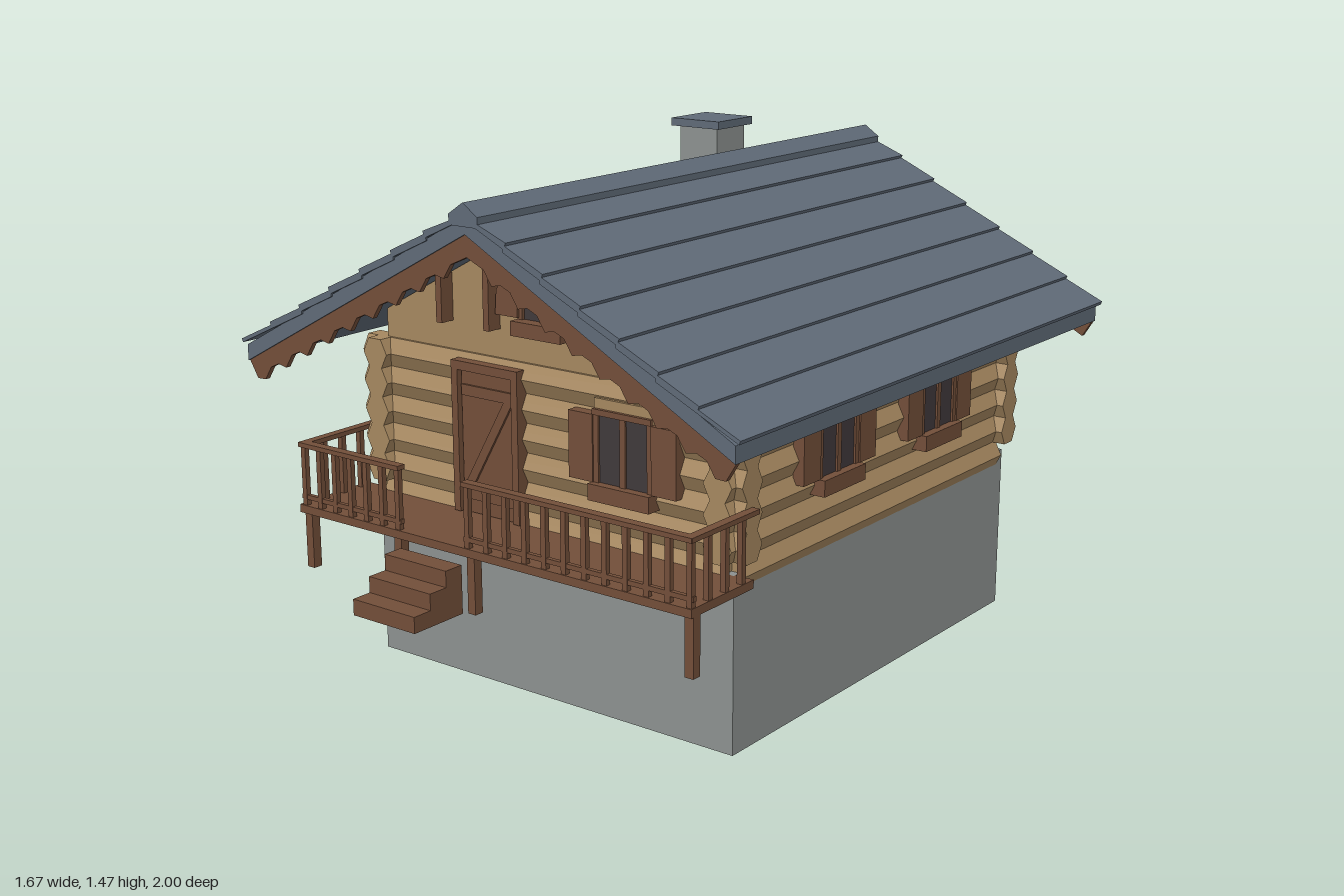
import * as THREE from 'three';

const mat = (name, color) => {
  const m = new THREE.MeshStandardMaterial({ color });
  m.name = name;
  return m;
};

export function createModel() {
  const model = new THREE.Group();
  model.name = 'logCabin';
  const stone = mat('stone', 0x8c918f);
  const log = mat('logWood', 0xa5875f);
  const brown = mat('brownWood', 0x724e39);
  const slate = mat('slate', 0x5f6a77);
  const glass = mat('darkGlass', 0x40393b);

  const add = (parent, name, geometry, material) => {
    const mesh = new THREE.Mesh(geometry, material);
    mesh.name = name;
    parent.add(mesh);
    return mesh;
  };
  const group = (name, parent = model) => {
    const g = new THREE.Group();
    g.name = name;
    parent.add(g);
    return g;
  };
  // Box given by its limits on each axis
  const box = (parent, name, material, x0, x1, y0, y1, z0, z1) => {
    const mesh = add(parent, name, new THREE.BoxGeometry(x1 - x0, y1 - y0, z1 - z0), material);
    mesh.position.set((x0 + x1) / 2, (y0 + y1) / 2, (z0 + z1) / 2);
    return mesh;
  };
  // Cross-section in x and y, swept from z0 to z1
  const prism = (parent, name, material, points, z0, z1) => {
    const shape = new THREE.Shape(points.map(([x, y]) => new THREE.Vector2(x, y)));
    const geometry = new THREE.ExtrudeGeometry(shape, { depth: z1 - z0, bevelEnabled: false });
    geometry.translate(0, 0, z0);
    return add(parent, name, geometry, material);
  };

  // Foundation, and the wall core with both gables
  box(model, 'foundation', stone, -0.615, 0.615, 0, 0.488, -0.83, 0.568);
  prism(model, 'wallCore', log, [[-0.58, 0.47], [0.58, 0.47], [0.58, 1.01], [0, 1.325], [-0.58, 1.01]], -0.815, 0.555);

  // Six-sided logs, crossing and sticking out at the corners
  const logs = group('logs');
  const hexagon = [[0.044, 0], [0.023, 0.041], [-0.023, 0.041], [-0.044, 0], [-0.023, -0.041], [0.023, -0.041]];
  for (let i = 0; i < 6; i++) {
    const y = 0.48 + i * 0.082;
    const inset = i === 0 ? 0.06 : 0;
    for (const x of [-0.587, 0.587]) {
      prism(logs, 'sideLog', log, hexagon, -0.857 + inset, 0.602 - inset).position.set(x, y, 0);
    }
    for (const z of [0.54, -0.802]) {
      const wallLog = prism(logs, 'endLog', log, hexagon, -0.65 + inset, 0.65 - inset);
      wallLog.rotation.y = Math.PI / 2;
      wallLog.position.set(0, y, z);
    }
  }

  // Roof slab with overlapping planks and a ridge cap
  const roof = group('roof');
  const roofY = (x) => 1.37 - 0.537 * Math.abs(x);
  prism(roof, 'roofSlab', slate, [[-0.82, roofY(0.82) - 0.045], [0, 1.325], [0.82, roofY(0.82) - 0.045],
    [0.82, roofY(0.82)], [0, 1.37], [-0.82, roofY(0.82)]], -0.995, 0.855);
  for (const side of [-1, 1]) {
    for (let i = 0; i < 7; i++) {
      const low = 0.833 - i * 0.1165;
      const high = Math.max(low - 0.24, 0);
      const points = [[high, roofY(high) - 0.006], [low, roofY(low) + 0.012], [low + 0.004, roofY(low) + 0.022], [high, roofY(high) + 0.004]];
      prism(roof, 'roofPlank', slate, points.map(([x, y]) => [side * x, y]), -1, 0.86);
    }
  }
  prism(roof, 'ridgeCap', slate, [[-0.048, 1.345], [0.048, 1.345], [0.048, 1.373], [0, 1.405], [-0.048, 1.373]], -1, 0.86);

  // Barge boards: a toothed lower edge in front, a plain one behind
  const bargeBoard = (name, toothed, z0, z1) => {
    for (const side of [-1, 1]) {
      const under = (x) => roofY(x) - 0.043;
      const points = [[0, under(0)], [0.82, under(0.82)], [0.79, under(0.79) - 0.065]];
      if (toothed) {
        for (let x = 0.76; x > 0.08; x -= 0.085) {
          points.push([x, under(x) - 0.08], [x - 0.025, under(x - 0.025) - 0.055], [x - 0.055, under(x - 0.055) - 0.058]);
        }
      }
      points.push([0, under(0) - 0.06]);
      prism(roof, name, brown, points.map(([x, y]) => [side * x, y]), z0, z1);
    }
  };
  bargeBoard('frontBargeBoard', true, 0.835, 0.85);
  bargeBoard('backBargeBoard', false, -0.99, -0.975);

  // Upright battens on the gables
  for (const x of [-0.34, -0.17, 0, 0.17, 0.34]) {
    const top = roofY(x) - 0.045;
    if (x !== 0) box(model, 'frontGableBatten', brown, x - 0.01, x + 0.01, 1.01, top, 0.55, 0.6);
    box(model, 'backGableBatten', brown, x - 0.01, x + 0.01, 1.01, top, -0.86, -0.81);
  }

  // Chimney
  box(model, 'chimney', stone, -0.268, -0.134, 1.15, 1.445, -0.525, -0.386);
  box(model, 'chimneyCap', slate, -0.29, -0.117, 1.445, 1.468, -0.542, -0.37);

  // Shuttered windows, built facing +z with the wall at z = 0
  const makeWindow = (name, x, z, turn) => {
    const w = group(name);
    box(w, 'lintel', log, -0.095, 0.095, 0.84, 0.885, -0.04, 0.005);
    box(w, 'header', brown, -0.095, 0.095, 0.842, 0.858, -0.03, 0.015);
    box(w, 'sill', brown, -0.1, 0.1, 0.615, 0.66, -0.04, 0.03);
    box(w, 'pane', glass, -0.085, 0.085, 0.66, 0.842, -0.04, 0.004);
    for (const c of [-0.088, 0, 0.088]) box(w, 'frameBar', brown, c - 0.009, c + 0.009, 0.66, 0.842, -0.03, 0.01);
    for (const s of [-1, 1]) {
      box(w, 'shutter', brown, s * 0.135 - 0.04, s * 0.135 + 0.04, 0.66, 0.842, -0.02, 0.014);
    }
    w.position.set(x, 0, z);
    w.rotation.y = turn;
  };
  const quarter = Math.PI / 2;
  makeWindow('frontWindow', 0.283, 0.585, 0);
  makeWindow('backWindow', 0, -0.847, Math.PI);
  makeWindow('leftFrontWindow', 0.632, 0.13, quarter);
  makeWindow('leftBackWindow', 0.632, -0.39, quarter);
  makeWindow('rightWindow', -0.632, -0.11, -quarter);

  // Attic window with shaped shutters
  const attic = group('atticWindow');
  box(attic, 'pane', glass, -0.075, 0.075, 1.05, 1.21, 0.54, 0.563);
  box(attic, 'sill', brown, -0.085, 0.085, 1.01, 1.05, 0.54, 0.6);
  box(attic, 'header', brown, -0.08, 0.08, 1.205, 1.225, 0.54, 0.575);
  for (const x of [-0.075, 0, 0.075]) box(attic, 'frameBar', brown, x - 0.008, x + 0.008, 1.05, 1.21, 0.54, 0.572);
  for (const s of [-1, 1]) {
    const outline = [[0.078, 1.055], [0.155, 1.055], [0.15, 1.12], [0.125, 1.17], [0.078, 1.21]];
    prism(attic, 'shutter', brown, outline.map(([x, y]) => [s * x, y]), 0.55, 0.58);
  }

  // Door with frame and diagonal brace
  const door = group('door');
  box(door, 'doorLeaf', brown, -0.275, -0.085, 0.49, 0.89, 0.55, 0.588);
  box(door, 'doorHead', brown, -0.3, -0.065, 0.89, 0.915, 0.55, 0.602);
  for (const x of [-0.3, -0.087]) box(door, 'doorJamb', brown, x, x + 0.022, 0.49, 0.89, 0.55, 0.602);
  for (const y of [0.53, 0.82]) box(door, 'doorRail', brown, -0.27, -0.09, y, y + 0.03, 0.585, 0.595);
  prism(door, 'doorBrace', brown, [[-0.27, 0.56], [-0.24, 0.56], [-0.09, 0.82], [-0.12, 0.82]], 0.585, 0.595);

  // Porch deck, posts and railing
  const porch = group('porch');
  box(porch, 'deck', brown, -0.68, 0.67, 0.465, 0.488, 0.56, 0.82);
  for (const x of [-0.658, -0.315, -0.052, 0.656]) box(porch, 'porchPost', brown, x - 0.013, x + 0.013, 0.305, 0.466, 0.782, 0.81);
  for (const [x0, x1] of [[-0.675, -0.295], [-0.07, 0.672]]) {
    box(porch, 'topRail', brown, x0, x1, 0.655, 0.668, 0.795, 0.822);
    box(porch, 'bottomRail', brown, x0, x1, 0.505, 0.518, 0.802, 0.815);
    const count = Math.round((x1 - x0) / 0.067);
    for (let i = 0; i <= count; i++) {
      const x = x0 + 0.012 + (x1 - x0 - 0.024) * i / count;
      box(porch, 'baluster', brown, x - 0.008, x + 0.008, 0.485, 0.656, 0.801, 0.816);
    }
  }
  for (const x of [-0.662, 0.66]) {
    box(porch, 'sideTopRail', brown, x - 0.013, x + 0.013, 0.655, 0.668, 0.54, 0.82);
    for (const z of [0.6, 0.67, 0.74]) box(porch, 'sideBaluster', brown, x - 0.008, x + 0.008, 0.485, 0.656, z - 0.008, z + 0.008);
  }

  // Steps
  for (let i = 0; i < 3; i++) {
    box(porch, 'step', brown, -0.295, -0.075, 0.305, 0.35 + i * 0.045, 0.82, 1 - i * 0.06);
  }

  // Firewood stack on the right wall
  const stack = group('firewood');
  box(stack, 'stackCore', brown, -0.7, -0.61, 0.305, 0.52, -0.465, 0.25);
  const diamond = [[0.03, 0], [0, 0.026], [-0.03, 0], [0, -0.026]];
  for (let row = 0; row < 7; row++) {
    const shift = row % 2;
    for (let i = 0; i < 11 - shift; i++) {
      const piece = prism(stack, 'splitLog', brown, diamond, -0.045, (i + row) % 3 * 0.006);
      piece.rotation.y = -quarter;
      piece.position.set(-0.704, 0.333 + row * 0.0265, -0.432 + (i + shift / 2) * 0.065);
    }
  }
  return model;
}
